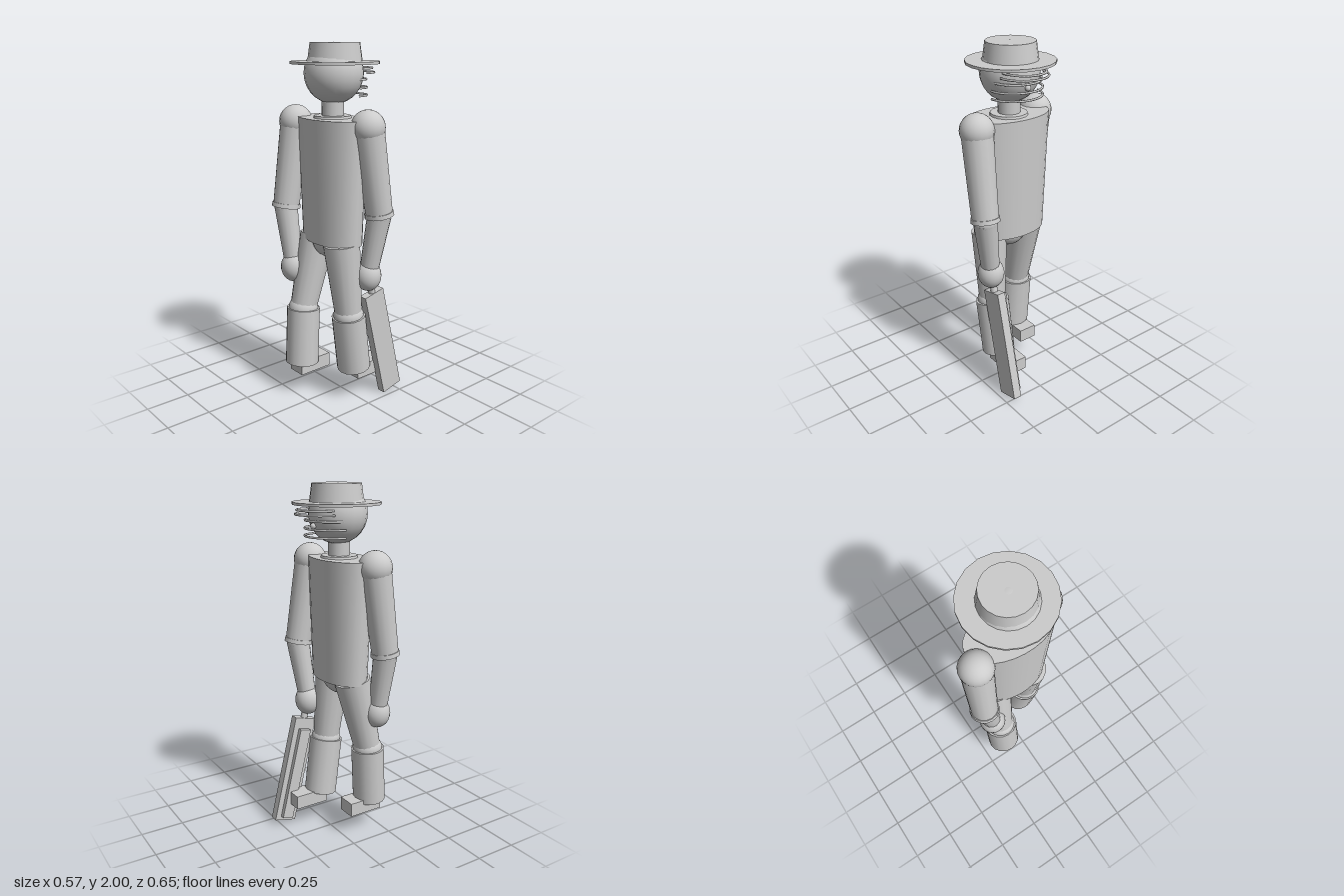
import * as THREE from 'three';

const V = (x, y, z) => new THREE.Vector3(x, y, z);

export function createModel() {
  const model = new THREE.Group();
  model.name = 'batsman';
  const grey = new THREE.MeshStandardMaterial({ color: 0xcccccc });
  grey.name = 'plain grey';

  const add = (name, geometry, x = 0, y = 0, z = 0) => {
    const mesh = new THREE.Mesh(geometry, grey);
    mesh.name = name;
    mesh.position.set(x, y, z);
    model.add(mesh);
    return mesh;
  };
  // Tapered cylinder running from point a (top) to point b (bottom)
  const limb = (name, a, b, ra, rb) => {
    const dir = a.clone().sub(b);
    const mesh = add(name, new THREE.CylinderGeometry(ra, rb, dir.length(), 16));
    mesh.position.copy(a).add(b).multiplyScalar(0.5);
    mesh.quaternion.setFromUnitVectors(V(0, 1, 0), dir.normalize());
    return mesh;
  };
  const ball = (name, p, r, sy = 1) => {
    const mesh = add(name, new THREE.SphereGeometry(r, 20, 14), p.x, p.y, p.z);
    mesh.scale.y = sy;
    return mesh;
  };

  // Hat, head and neck
  add('hatCrown', new THREE.CylinderGeometry(0.132, 0.146, 0.1, 20), -0.037, 1.95, 0);
  add('hatBrim', new THREE.CylinderGeometry(0.237, 0.237, 0.014, 20), -0.037, 1.898, 0);
  ball('head', V(-0.045, 1.843, 0), 0.159);
  ball('nose', V(0.107, 1.785, 0), 0.016);
  limb('neck', V(-0.053, 1.73, 0), V(-0.053, 1.6, 0), 0.06, 0.06);
  limb('collar', V(-0.055, 1.625, 0), V(-0.055, 1.605, 0), 0.1, 0.105);

  // Face guard bars: half rings bowed towards +x
  const bars = [
    [0, 1.73, 0.148], [0, 1.77, 0.148], [0, 1.812, 0.14],
    [0.06, 1.845, 0.134], [0.055, 1.867, 0.118],
  ];
  for (const [x, y, r] of bars) {
    const bar = add('guardBar', new THREE.TorusGeometry(r, 0.006, 6, 20, Math.PI), x, y, 0);
    bar.rotation.set(Math.PI / 2, 0, -Math.PI / 2);
    bar.scale.y = 0.135 / r;
  }

  // Oval torso and pelvis
  const torso = add('torso', new THREE.CylinderGeometry(1, 0.885, 0.675, 28), -0.06, 1.275, 0);
  torso.scale.set(0.145, 1, 0.245);
  torso.rotation.y = -0.06;
  ball('pelvis', V(-0.07, 0.945, 0), 0.105);

  // Arms
  const arms = [
    { s: 1, shoulder: -0.012, elbow: 0.066, hand: 0.035 },
    { s: -1, shoulder: -0.125, elbow: -0.195, hand: -0.185 },
  ];
  for (const { s, shoulder, elbow, hand } of arms) {
    const a = V(shoulder, 1.578, s * 0.234);
    const b = V(elbow, 1.1, s * 0.246);
    const c = V(hand, 0.755, s * 0.195);
    ball('shoulder', a, 0.092);
    limb('sleeve', a, b, 0.086, 0.074);
    limb('cuff', b.clone().lerp(a, 0.05), b, 0.079, 0.081);
    ball('elbow', b, 0.066);
    limb('forearm', b, c, 0.066, 0.05);
    ball('hand', c, 0.075, 1.17);
  }

  // Legs with pads and feet
  const legs = [
    { s: 1, hip: -0.09, knee: -0.05, ankle: -0.003, toe: 0.19 },
    { s: -1, hip: -0.07, knee: -0.17, ankle: -0.192, toe: -0.03 },
  ];
  for (const { s, hip, knee, ankle, toe } of legs) {
    const k = V(knee, 0.52, s * 0.13);
    const foot = V(ankle, 0.19, s * 0.122);
    limb('thigh', V(hip, 0.945, s * 0.115), k, 0.102, 0.076);
    ball('knee', k, 0.086, 0.85);
    limb('legPad', k, foot, 0.094, 0.094).scale.z = 1.04;
    add('foot', new THREE.BoxGeometry(0.205, 0.08, 0.11), toe - 0.1025, 0.17, s * 0.122);
  }

  // Bat leaning out from the right-hand grip
  const bat = new THREE.Group();
  bat.name = 'bat';
  bat.position.set(0.141, 0.333, 0.195);
  bat.rotation.z = 0.239;
  bat.add(
    add('batBlade', new THREE.BoxGeometry(0.136, 0.648, 0.048)),
    add('batRidge', new THREE.BoxGeometry(0.068, 0.56, 0.026), 0, -0.02, -0.037),
    add('batHandle', new THREE.CylinderGeometry(0.02, 0.02, 0.14, 12), 0, 0.38, 0),
  );
  model.add(bat);
  return model;
}
